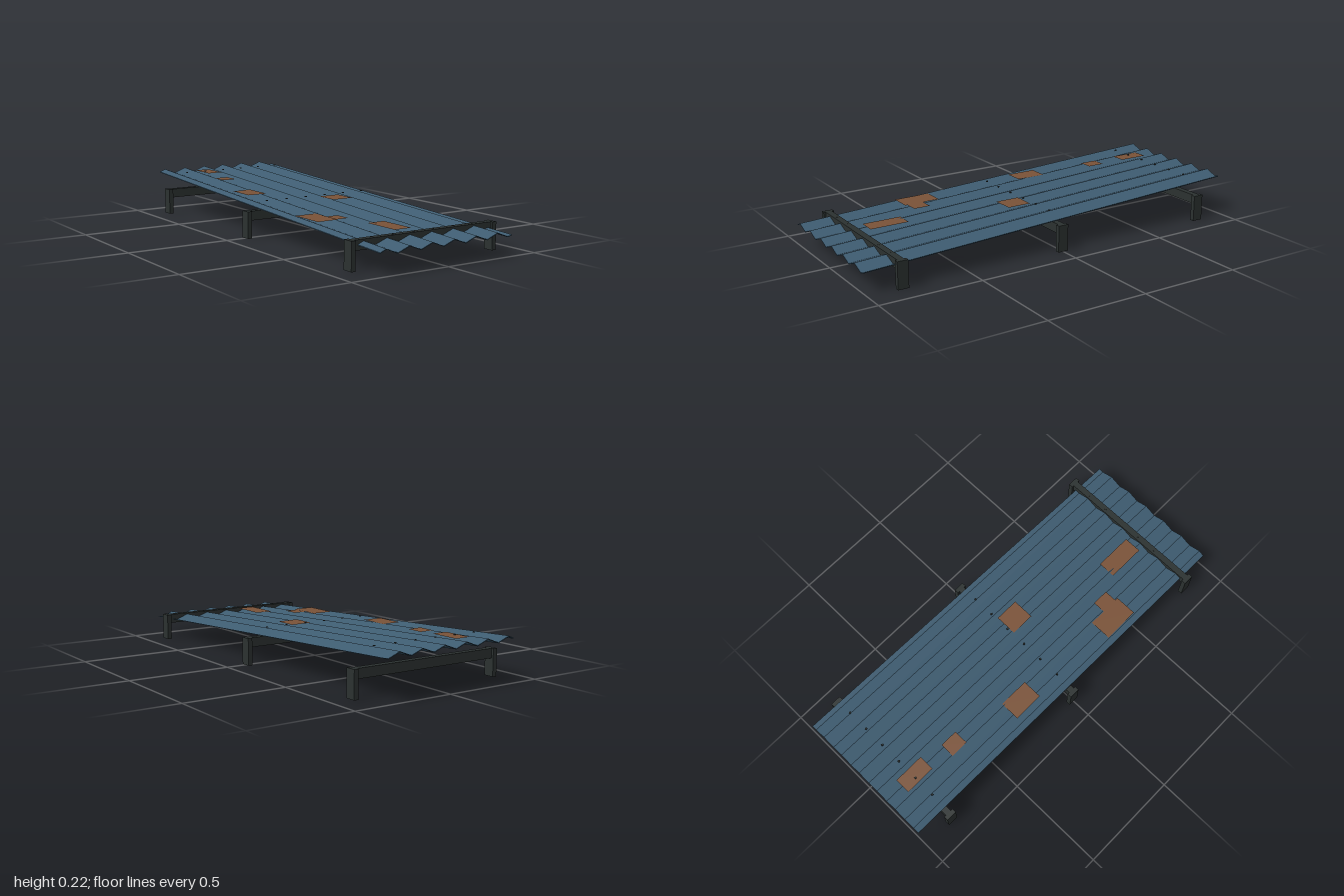
import * as THREE from 'three';

const SLOPE = 0.05;                       // roof drops towards the front
const roofY = (z) => 0.1535 - SLOPE * z;  // mid height of the sheet's upper face

const steel = new THREE.MeshStandardMaterial({ color: 0x3e5c71, flatShading: true, side: THREE.DoubleSide });
const frame = new THREE.MeshStandardMaterial({ color: 0x2b3130, flatShading: true });
const rust = new THREE.MeshStandardMaterial({ color: 0x7a5238, flatShading: true, side: THREE.DoubleSide });

function add(parent, name, geometry, material, x = 0, y = 0, z = 0) {
  const mesh = new THREE.Mesh(geometry, material);
  mesh.name = name;
  mesh.position.set(x, y, z);
  parent.add(mesh);
  return mesh;
}

// Zigzag profile with a thin underside, extruded and sheared to the roof slope
function corrugatedSheet() {
  const top = [[-0.36, -0.001]];
  for (let i = 0; i < 12; i++) top.push([-0.33 + i * 0.0606, i % 2 ? -0.0115 : 0.0115]);
  top.push([0.36, -0.006]);
  const bottom = top.map(([x, y]) => [x, y - 0.004]).reverse();
  const shape = new THREE.Shape([...top, ...bottom].map(([x, y]) => new THREE.Vector2(x, y)));
  const geometry = new THREE.ExtrudeGeometry(shape, { depth: 2, bevelEnabled: false });
  geometry.translate(0, 0, -1);
  const p = geometry.attributes.position;
  for (let i = 0; i < p.count; i++) p.setY(i, p.getY(i) + roofY(p.getZ(i)));
  geometry.computeVertexNormals();
  return geometry;
}

export function createModel() {
  const model = new THREE.Group();
  model.name = 'corrugatedRoof';
  add(model, 'roofSheet', corrugatedSheet(), steel);

  // Three support frames, each with two legs, a crossbeam and a row of bolts
  const legGeometry = new THREE.BoxGeometry(0.022, 0.13, 0.053);
  const beamGeometry = new THREE.BoxGeometry(0.76, 0.045, 0.032);
  const boltGeometry = new THREE.CylinderGeometry(0.005, 0.006, 0.004, 6);
  for (const z of [0.833, 0, -0.833]) {
    const support = new THREE.Group();
    support.name = 'supportFrame';
    support.position.z = z;
    model.add(support);
    add(support, 'crossbeam', beamGeometry, frame, 0, 0.1075, 0);
    for (const side of [-1, 1]) add(support, 'leg', legGeometry, frame, side * 0.389, 0.065, 0);
    for (let i = 0; i < 6; i++) {
      const bolt = add(support, 'bolt', boltGeometry, frame, -0.279 + i * 0.1115, roofY(z) + 0.017, 0);
      bolt.rotation.x = SLOPE;
    }
  }

  // Level rust patches just above the ridges: centre x, centre z, width, length
  const patches = [
    [-0.153, -0.825, 0.079, 0.153],
    [-0.177, -0.593, 0.074, 0.09],
    [-0.248, -0.217, 0.101, 0.154],
    [0.075, 0.069, 0.111, 0.122],
    [-0.27, 0.412, 0.111, 0.185],
    [-0.185, 0.447, 0.07, 0.085],
    [-0.069, 0.682, 0.09, 0.195],
  ];
  for (const [x, z, w, l] of patches) {
    const geometry = new THREE.PlaneGeometry(w, l).rotateX(-Math.PI / 2);
    add(model, 'rustPatch', geometry, rust, x, roofY(z) + 0.0145, z);
  }
  return model;
}
